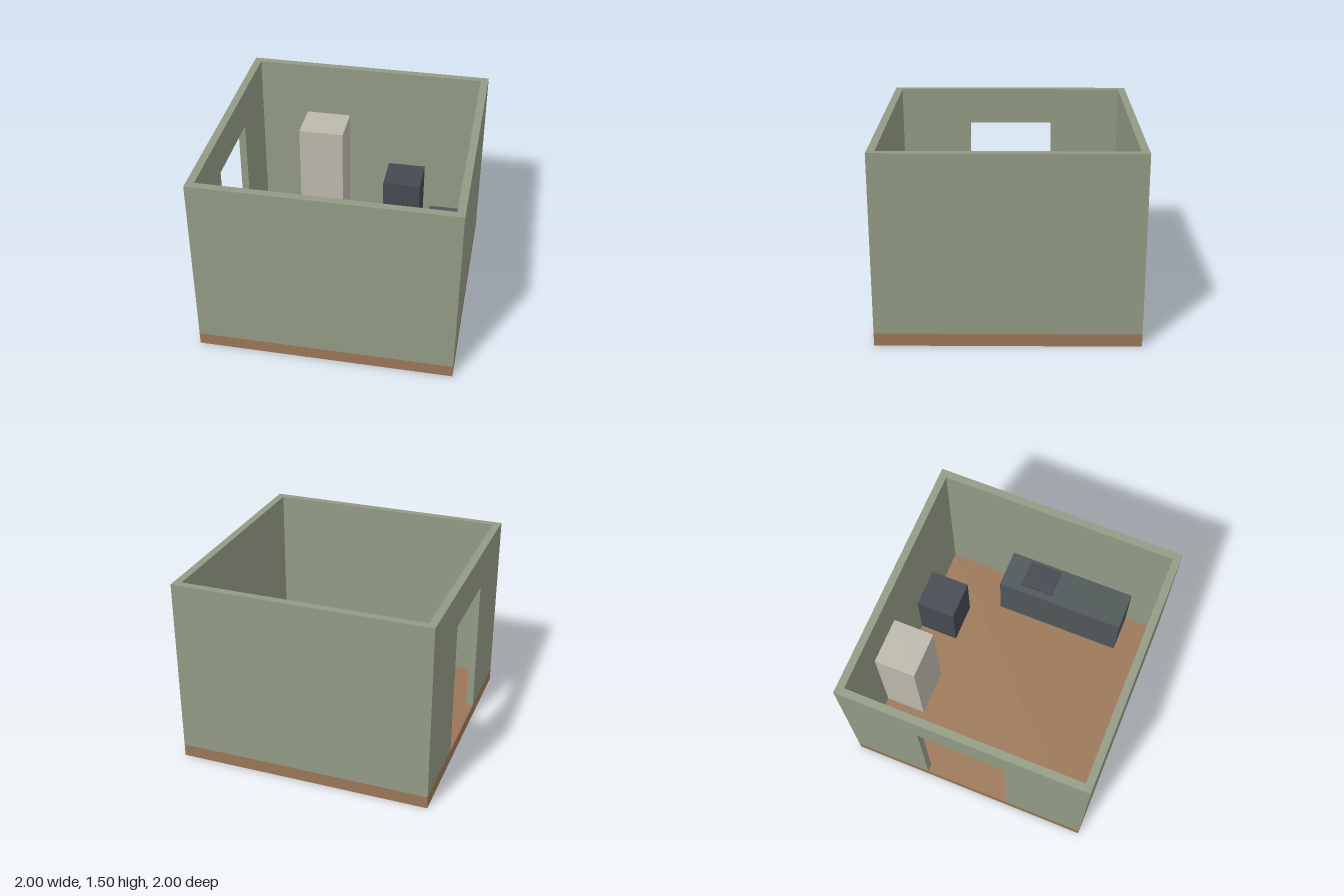
import * as THREE from 'three';

const mat = (color) => new THREE.MeshStandardMaterial({ color });

export function createModel() {
  const room = new THREE.Group();
  room.name = 'kitchenRoom';

  const wallMat = mat(0x929a84);
  const floorMat = mat(0x9b7657);
  const fridgeMat = mat(0xbcb8ac);
  const counterMat = mat(0x505758);
  const darkMat = mat(0x434a50);

  // Box given by its extents along each axis
  const block = (name, material, [x0, x1], [y0, y1], [z0, z1]) => {
    const mesh = new THREE.Mesh(new THREE.BoxGeometry(x1 - x0, y1 - y0, z1 - z0), material);
    mesh.position.set((x0 + x1) / 2, (y0 + y1) / 2, (z0 + z1) / 2);
    mesh.name = name;
    room.add(mesh);
  };

  const floorTop = 0.1, wallTop = 1.5, inner = 0.94;

  // Floor slab and the three solid walls
  block('floor', floorMat, [-1, 1], [0, floorTop], [-1, 1]);
  block('frontWall', wallMat, [-1, 1], [floorTop, wallTop], [inner, 1]);
  block('backWall', wallMat, [-1, 1], [floorTop, wallTop], [-1, -inner]);
  block('sideWall', wallMat, [inner, 1], [floorTop, wallTop], [-inner, inner]);

  // Side wall with a doorway notched out of its lower edge
  const doorTop = 1.2, doorBack = -0.36, doorFront = 0.35;
  const outline = new THREE.Shape([
    [-inner, floorTop], [doorBack, floorTop], [doorBack, doorTop], [doorFront, doorTop],
    [doorFront, floorTop], [inner, floorTop], [inner, wallTop], [-inner, wallTop],
  ].map(([z, y]) => new THREE.Vector2(z, y)));
  const doorWall = new THREE.Mesh(
    new THREE.ExtrudeGeometry(outline, { depth: 1 - inner, bevelEnabled: false }), wallMat);
  doorWall.rotation.y = -Math.PI / 2;
  doorWall.position.x = -inner;
  doorWall.name = 'doorWall';
  room.add(doorWall);

  // Furniture along the back wall and the side wall
  block('fridge', fridgeMat, [-0.54, -0.165], [floorTop, 1.05], [-inner, -0.605]);
  block('stove', darkMat, [0.19, 0.51], [floorTop, 0.6], [-inner, -0.615]);
  block('counter', counterMat, [0.625, inner], [floorTop, 0.595], [-0.365, 0.71]);
  block('sink', darkMat, [0.685, 0.91], [0.595, 0.615], [-0.19, 0.085]);

  return room;
}
